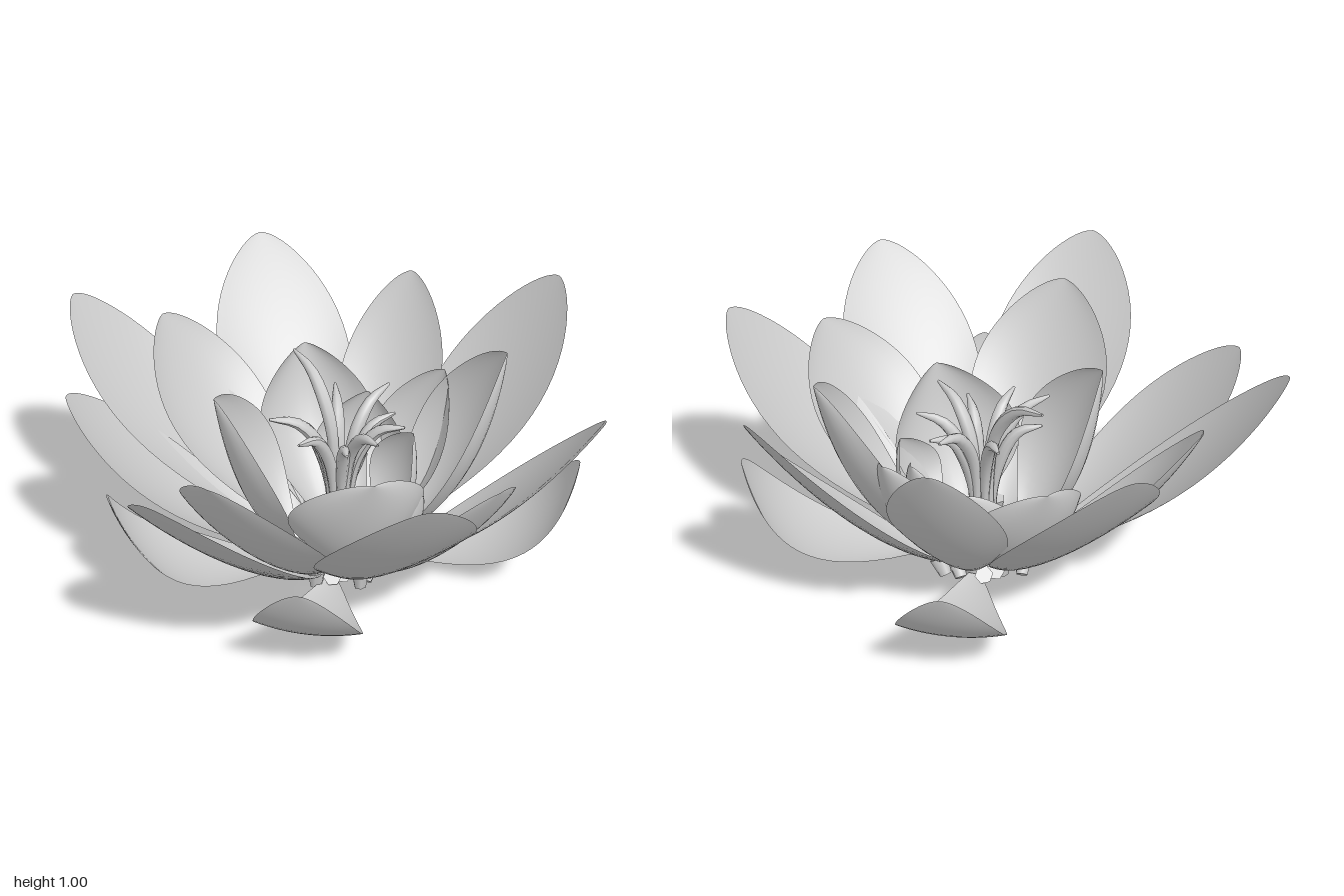
import * as THREE from 'three';

const CX = 0.06, CZ = -0.01; // flower axis
const material = new THREE.MeshStandardMaterial({ color: 0xcccccc, side: THREE.DoubleSide });

// Cupped petal from the base ring to tip (x, y, z); the spine is a quadratic curve.
// bend = [control radius, control height] as fractions of the tip's; cup = [at base, at tip].
function petal(name, [x, y, z, halfWidth], { start, bend, cup }) {
  const reach = Math.hypot(x - CX, z - CZ);
  const out = new THREE.Vector3((x - CX) / reach, 0, (z - CZ) / reach);
  const side = new THREE.Vector3(out.z, 0, -out.x);
  const spine = new THREE.QuadraticBezierCurve(
    new THREE.Vector2(start, 0.05),
    new THREE.Vector2(reach * bend[0], y * bend[1]),
    new THREE.Vector2(reach, y));
  const rows = 24, cols = 14;
  const geo = new THREE.PlaneGeometry(1, 1, cols, rows);
  const pos = geo.attributes.position;
  const p = new THREE.Vector3();
  for (let j = 0; j <= rows; j++) {
    const u = 1 - Math.pow(1 - j / rows, 1.8); // rows crowd toward the round tip
    const c = spine.getPoint(u), t = spine.getTangent(u);
    const w = halfWidth * (Math.pow(Math.max(0, Math.sin(Math.PI * Math.pow(u, 1.4))), 0.62) + 0.12 * (1 - u));
    const depth = THREE.MathUtils.lerp(cup[0], cup[1], u);
    for (let i = 0; i <= cols; i++) {
      const s = (i / cols) * 2 - 1;
      const lift = depth * w * s * s;
      const across = w * s * (1 - 0.12 * depth * s * s);
      p.set(CX, c.y + t.x * lift, CZ)
        .addScaledVector(out, c.x - t.y * lift)
        .addScaledVector(side, across);
      pos.setXYZ(j * (cols + 1) + i, p.x, p.y, p.z);
    }
  }
  geo.computeVertexNormals();
  const mesh = new THREE.Mesh(geo, material);
  mesh.name = name;
  return mesh;
}

// Curved stamen: a tube that swells near its end and tapers to a point.
function stamen(angle, reach, height) {
  const c = Math.cos(angle), s = Math.sin(angle);
  const at = (r, y) => new THREE.Vector3(CX + c * r, y, CZ - 0.02 + s * r);
  const curve = new THREE.CatmullRomCurve3([
    at(0.09, 0.04), at(0.04, height * 0.4), at(0.07, height * 0.75),
    at(reach * 0.6, height * 0.95), at(reach, height)]);
  const rows = 20, sides = 8;
  const geo = new THREE.TubeGeometry(curve, rows, 1, sides);
  const pos = geo.attributes.position, p = new THREE.Vector3();
  for (let j = 0; j <= rows; j++) {
    const u = j / rows, centre = curve.getPointAt(u);
    const radius = 0.01 + 0.016 * Math.sin(Math.PI * Math.pow(u, 2.2)) - 0.005 * Math.pow(u, 6);
    for (let i = 0; i <= sides; i++) {
      const k = j * (sides + 1) + i;
      p.fromBufferAttribute(pos, k).sub(centre).multiplyScalar(radius).add(centre);
      pos.setXYZ(k, p.x, p.y, p.z);
    }
  }
  geo.computeVertexNormals();
  const mesh = new THREE.Mesh(geo, material);
  mesh.name = 'stamen';
  return mesh;
}

export function createModel() {
  const flower = new THREE.Group();
  flower.name = 'lotusFlower';

  // Petal rings: tip x, y, z and half width
  const rings = {
    sepal: {
      start: 0.2, bend: [0.88, 0.06], cup: [0.15, 0.1],
      tips: [[-0.06, 0.5, 0.87, 0.19], [0.97, 0.5, 0.02, 0.19],
        [0.31, 0.5, -0.91, 0.19], [-0.79, 0.5, 0.31, 0.19]],
    },
    outerPetal: {
      start: 0.19, bend: [0.68, 0.39], cup: [0.36, 0.04],
      tips: [[-0.3, 0.96, -0.97, 0.27], [-0.99, 0.96, -0.4, 0.25], [-0.95, 0.8, 0.1, 0.25],
        [-0.53, 0.91, 0.95, 0.28], [0.36, 0.92, 0.96, 0.27], [0.98, 0.93, 0.43, 0.26],
        [0.9, 1.0, -0.54, 0.27]],
    },
    middlePetal: {
      start: 0.18, bend: [0.73, 0.35], cup: [0.45, 0.15],
      tips: [[-0.66, 0.82, -0.51, 0.25], [0.33, 0.9, -0.76, 0.21],
        [-0.37, 0.82, 0.71, 0.28], [0.62, 0.76, 0.61, 0.27]],
    },
    innerPetal: {
      start: 0.17, bend: [0.88, 0.36], cup: [0.65, 0.5],
      tips: [[0.68, 0.89, -0.12, 0.26], [-0.41, 0.77, 0.05, 0.27], [-0.1, 0.66, -0.58, 0.24],
        [0.46, 0.68, -0.35, 0.2], [0.19, 0.64, 0.41, 0.27]],
    },
    heartPetal: {
      start: 0.16, bend: [1.1, 0.45], cup: [0.5, 0.5],
      tips: [[0.16, 0.55, -0.39, 0.19], [0.34, 0.52, -0.13, 0.18], [0.36, 0.45, 0.17, 0.16]],
    },
  };
  for (const [name, ring] of Object.entries(rings)) {
    const group = new THREE.Group();
    group.name = name + 's';
    for (const tip of ring.tips) group.add(petal(name, tip, ring));
    flower.add(group);
  }

  // Stamens: the first is the tallest
  const stamens = new THREE.Group();
  stamens.name = 'stamens';
  const count = 10;
  for (let i = 0; i < count; i++) {
    const tall = i === 0;
    stamens.add(stamen(-2.22 + (i * Math.PI * 2) / count + 0.12 * Math.sin(i * 4),
      tall ? 0.31 : 0.25 + 0.025 * (i % 3 - 1), tall ? 0.8 : 0.62 + 0.03 * (i % 3)));
  }
  flower.add(stamens);

  // Ragged ring of stubs where the petals join underneath
  const base = new THREE.Group();
  base.name = 'baseStubs';
  const stubs = 26;
  for (let i = 0; i < stubs; i++) {
    const a = (i / stubs) * Math.PI * 2, r = 0.2 + 0.035 * (i % 3 - 1);
    const stub = new THREE.Mesh(new THREE.CylinderGeometry(0.036, 0.024, 0.07, 6), material);
    stub.name = 'baseStub';
    stub.position.set(CX + Math.cos(a) * r, 0.046 + 0.012 * (i % 3), CZ + Math.sin(a) * r);
    stub.rotation.set(0.5 * Math.sin(a * 5), a, 0.5 * Math.cos(a * 4));
    base.add(stub);
  }
  flower.add(base);
  return flower;
}
